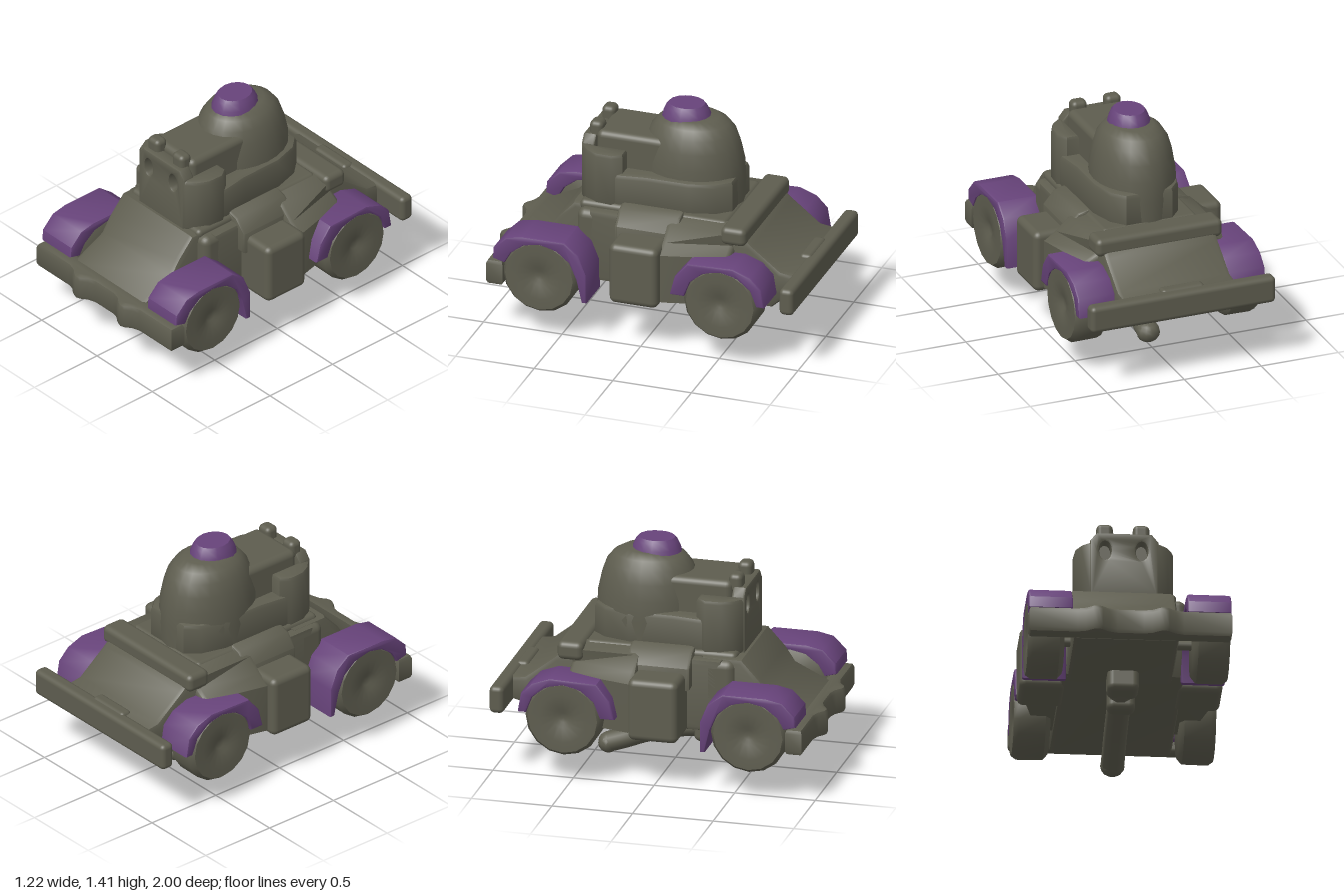
import * as THREE from 'three';
import { toCreasedNormals } from 'three/addons/utils/BufferGeometryUtils.js';
import { RoundedBoxGeometry } from 'three/addons/geometries/RoundedBoxGeometry.js';

const olive = new THREE.MeshStandardMaterial({ color: 0x5e5d4f });
olive.name = 'olive grey';
const purple = new THREE.MeshStandardMaterial({ color: 0x67437a });
purple.name = 'purple';

export function createModel() {
  const model = new THREE.Group();
  model.name = 'armouredCar';

  const add = (name, geo, mat = olive, x = 0, y = 0, z = 0) => {
    const m = new THREE.Mesh(geo, mat);
    m.name = name;
    m.position.set(x, y, z);
    model.add(m);
    return m;
  };
  // Rounded box given by its limits
  const box = (name, [x0, x1], [y0, y1], [z0, z1], r = 0.03) =>
    add(name, new RoundedBoxGeometry(x1 - x0, y1 - y0, z1 - z0, 3, r), olive,
      (x0 + x1) / 2, (y0 + y1) / 2, (z0 + z1) / 2);
  const toShape = (pts) => new THREE.Shape(pts.map((p) => new THREE.Vector2(...p)));
  // Bevelled extrusion that keeps the outline's size; runs 0..depth on local z
  const extrude = (shape, depth, b) => new THREE.ExtrudeGeometry(shape, {
    depth: depth - 2 * b, bevelThickness: b, bevelSize: b, bevelOffset: -b, bevelSegments: 2, curveSegments: 8,
  }).translate(0, 0, b);
  const crease = (g) => toCreasedNormals(g, 0.75);
  // (z, y) outline stretched across x, centred on x = 0
  const across = (pts, width, b) =>
    crease(extrude(toShape(pts), width, b).translate(0, 0, -width / 2).rotateY(-Math.PI / 2));
  // (x, z) outline raised from y0 to y1
  const raised = (pts, y0, y1, b) =>
    crease(extrude(toShape(pts.map(([x, z]) => [x, -z])), y1 - y0, b).rotateX(-Math.PI / 2).translate(0, y0, 0));
  // Both halves of a left-right symmetric outline
  const both = (pts) => [...pts, ...pts.map(([x, z]) => [-x, z]).reverse()];
  const lathe = (pts, n) => new THREE.LatheGeometry(pts.map((p) => new THREE.Vector2(...p)), n);

  // Hull: narrow nose, wider body
  add('hullNose', across([[0.25, 0.32], [0.84, 0.33], [0.9, 0.48], [0.67, 0.59], [0.61, 0.68],
    [0.5, 0.8], [0.25, 0.8]], 0.64, 0.03), olive, -0.02);
  add('hullBody', across([[0.33, 0.33], [0.4, 0.5], [0.38, 0.79], [-0.58, 0.79], [-0.66, 0.72],
    [-0.84, 0.58], [-0.99, 0.56], [-0.99, 0.44], [-0.87, 0.41], [-0.78, 0.33]], 0.74, 0.03));
  box('hoodShoulder', [-0.37, 0.37], [0.5, 0.79], [0.25, 0.46], 0.05);
  box('rearDeckPlate', [-0.41, 0.41], [0.72, 0.835], [-0.63, -0.47], 0.035);
  box('rearStep', [-0.16, 0.12], [0.53, 0.59], [-0.95, -0.87], 0.025);
  box('turretRing', [-0.31, 0.31], [0.76, 0.825], [-0.48, 0.46], 0.03);

  // Bumpers, the front one with two blunt bosses
  add('frontBumper', raised(both([[0.08, 0.945], [0.13, 0.96], [0.17, 0.99], [0.2, 1], [0.23, 0.99], [0.27, 0.96],
    [0.32, 0.945], [0.61, 0.945], [0.61, 0.84]]), 0.32, 0.49, 0.03));
  box('rearBumper', [-0.6, 0.6], [0.41, 0.58], [-1, -0.91], 0.03);

  // Wheel turned about its axle, slightly dished on the outside
  const wheelGeo = crease(lathe([[0, -0.11], [0.2, -0.11], [0.235, -0.08], [0.237, 0.08],
    [0.215, 0.11], [0.15, 0.11], [0.06, 0.1], [0.03, 0.085], [0, 0.085]], 16).rotateZ(-Math.PI / 2));
  // Mudguards reach down to the tyre
  const frontGuard = across([[0.905, 0.5], [0.9, 0.57], [0.82, 0.65], [0.72, 0.67], [0.45, 0.67], [0.36, 0.6],
    [0.31, 0.48], [0.31, 0.29], [0.34, 0.29], [0.375, 0.44], [0.42, 0.54], [0.5, 0.605], [0.61, 0.63],
    [0.71, 0.61], [0.79, 0.55], [0.83, 0.48]], 0.265, 0.012);
  const rearGuard = across([[-0.22, 0.44], [-0.25, 0.56], [-0.33, 0.66], [-0.62, 0.67], [-0.73, 0.63],
    [-0.8, 0.56], [-0.82, 0.44], [-0.77, 0.44], [-0.73, 0.54], [-0.65, 0.605], [-0.54, 0.63], [-0.43, 0.605],
    [-0.35, 0.54], [-0.31, 0.44]], 0.245, 0.012);

  for (const s of [1, -1]) {
    for (const z of [0.61, -0.54]) {
      const wheel = add('wheel', wheelGeo, olive, s * 0.497, 0.42, z);
      if (s < 0) wheel.rotation.y = Math.PI;
    }
    add('frontMudguard', frontGuard, purple, s * 0.477);
    add('rearMudguard', rearGuard, purple, s * 0.486);

    // Side tank
    box('sideTank', s > 0 ? [0.33, 0.61] : [-0.61, -0.33], [0.32, 0.71], [-0.14, 0.17], 0.04);

    // Sloping shoulder behind the tank, tapering inwards to the rear
    const shoulder = toShape([[0.28, 0.35], [0.56, 0.35], [0.56, 0.66], [0.48, 0.71], [0.39, 0.79], [0.28, 0.82]]
      .map(([x, y]) => [s * x, y]));
    const shoulderGeo = extrude(shoulder, 0.43, 0.03).translate(0, 0, -0.55);
    const p = shoulderGeo.attributes.position;
    for (let i = 0; i < p.count; i++)
      if (Math.abs(p.getX(i)) > 0.42) p.setX(i, p.getX(i) + s * 0.25 * (p.getZ(i) + 0.12));
    add('shoulder', crease(shoulderGeo));
    const ledge = toShape([[0.28, 0.6], [0.42, 0.6], [0.42, 0.74], [0.35, 0.82], [0.28, 0.84]]
      .map(([x, y]) => [s * x, y]));
    add('sideLedge', crease(extrude(ledge, 0.4, 0.02)), olive, 0, 0, -0.2);
  }
  // Axles under the hull
  for (const z of [0.61, -0.54])
    add('axle', new THREE.CylinderGeometry(0.03, 0.03, 0.82, 10).rotateZ(Math.PI / 2), olive, 0, 0.41, z);

  // Turret lower body and gun housing
  add('turretBody', raised(both([[0.15, 0.4], [0.27, 0.34], [0.29, 0.22], [0.265, 0.05], [0.265, -0.22], [0.22, -0.38],
    [0.15, -0.46]]), 0.78, 1.02, 0.03));
  box('gunHousing', [-0.19, 0.18], [0.95, 1.235], [-0.15, 0.4], 0.04);

  // Front shield with two sight holes, rounded cheeks and two prongs
  const shield = toShape([[-0.21, 0.79], [0.2, 0.79], [0.2, 1.15], [0.16, 1.2], [-0.17, 1.2], [-0.21, 1.15]]);
  for (const x of [-0.12, 0.1]) {
    const hole = new THREE.Path();
    hole.absellipse(x, 1.085, 0.036, 0.06, 0, Math.PI * 2, true);
    shield.holes.push(hole);
  }
  add('frontShield', crease(extrude(shield, 0.085, 0.015)), olive, 0, 0, 0.4);
  for (const s of [1, -1])
    add('shieldCheek', raised([[0.18, 0.483], [0.21, 0.475], [0.26, 0.43], [0.295, 0.36], [0.3, 0.26], [0.26, 0.2],
      [0.18, 0.2]].map(([x, z]) => [s * x, z]), 0.79, 1.145, 0.025));
  for (const x of [-0.12, 0.1]) box('prong', [x - 0.05, x + 0.05], [1.16, 1.275], [0.37, 0.455], 0.03);

  // Rounded cupola and its cap
  const dome = lathe([[1, 0.8], [1.02, 0.95], [1, 1.08], [0.93, 1.18], [0.84, 1.26], [0.7, 1.315], [0.5, 1.35],
    [0, 1.36]], 24);
  add('cupola', dome.scale(0.25, 1, 0.315), olive, -0.015, 0, -0.155);
  const cap = lathe([[1.08, 1.335], [1.03, 1.36], [0.9, 1.4], [0.78, 1.42], [0, 1.42]], 16);
  add('cupolaCap', crease(cap.scale(0.12, 1, 0.142)), purple, -0.012, 0, -0.113);

  // Gun barrel slung beneath the hull
  const path = new THREE.CatmullRomCurve3([[0.36, 0.27], [0.2, 0.24], [0.05, 0.22], [-0.1, 0.185], [-0.2, 0.155],
    [-0.3, 0.115], [-0.42, 0.073]].map(([z, y]) => new THREE.Vector3(0, y, z)));
  add('barrel', new THREE.TubeGeometry(path, 20, 0.062, 10).scale(1.15, 1, 1), olive, -0.012);
  add('barrelTip', new THREE.SphereGeometry(0.064, 12, 8).scale(1.15, 1, 1), olive, -0.012, 0.074, -0.412);
  box('barrelMount', [-0.1, 0.09], [0.2, 0.36], [0.25, 0.42], 0.04);
  box('barrelCollar', [-0.09, 0.08], [0.15, 0.34], [0.13, 0.25], 0.04);

  return model;
}
